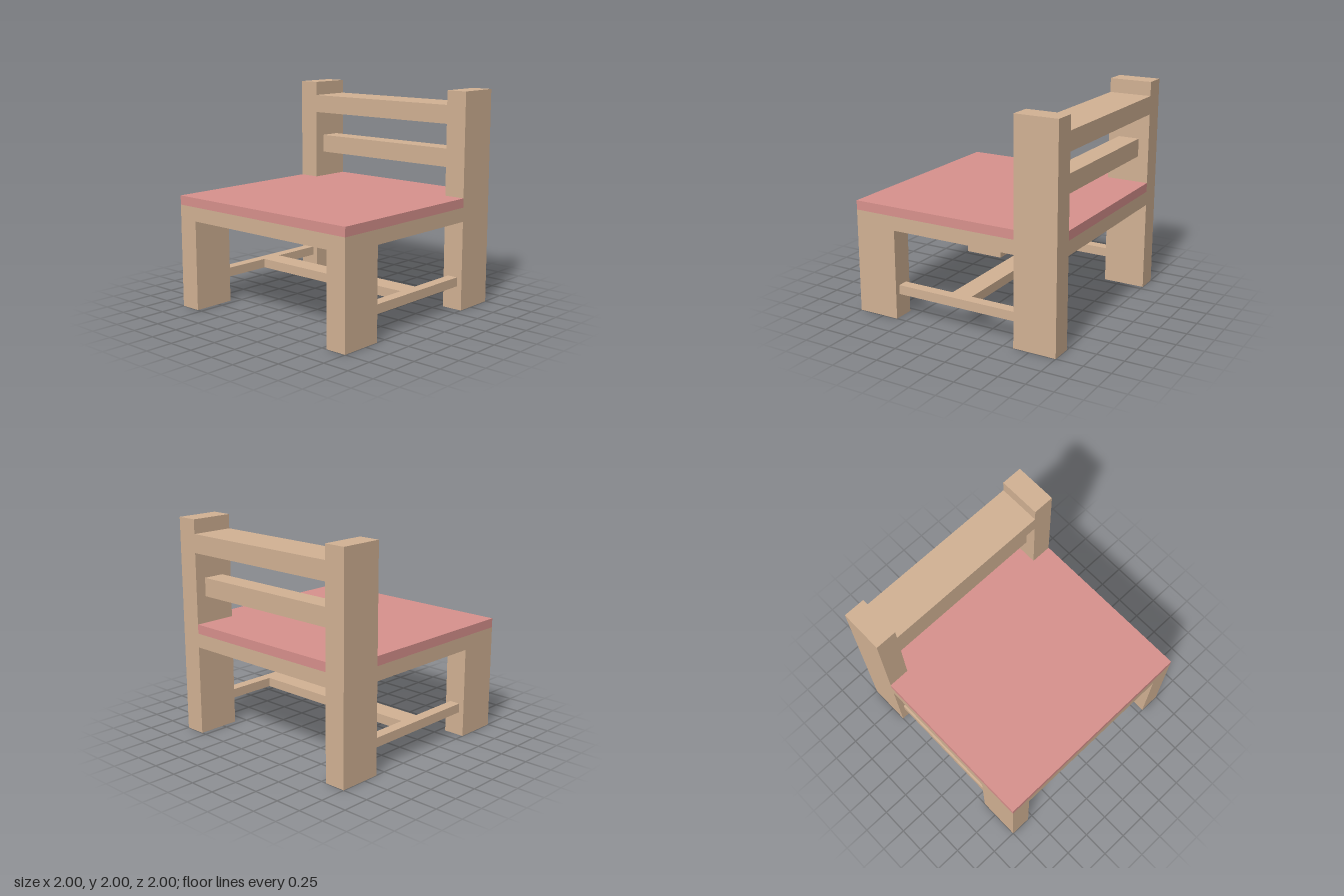
import * as THREE from 'three';

const wood = new THREE.MeshStandardMaterial({ color: 0xd2b294 });
const pink = new THREE.MeshStandardMaterial({ color: 0xd8918d });

export function createModel() {
  const chair = new THREE.Group();
  chair.name = 'chair';

  // Box given by its min and max on each axis
  const box = (name, [x0, x1], [y0, y1], [z0, z1]) => {
    const mesh = new THREE.Mesh(new THREE.BoxGeometry(x1 - x0, y1 - y0, z1 - z0), wood);
    mesh.position.set((x0 + x1) / 2, (y0 + y1) / 2, (z0 + z1) / 2);
    mesh.name = name;
    chair.add(mesh);
  };

  // Seat outline, narrowed at the back to pass between the posts (shape y is -z)
  const outline = new THREE.Shape([
    [-1, -1], [1, -1], [1, 0.6], [0.8, 0.6], [0.8, 1], [-0.8, 1], [-0.8, 0.6], [-1, 0.6],
  ].map(([x, y]) => new THREE.Vector2(x, y)));
  const slab = (name, y0, y1, material) => {
    const geometry = new THREE.ExtrudeGeometry(outline, { depth: y1 - y0, bevelEnabled: false });
    geometry.rotateX(-Math.PI / 2);
    const mesh = new THREE.Mesh(geometry, material);
    mesh.position.y = y0;
    mesh.name = name;
    chair.add(mesh);
  };
  slab('seatBase', 0.83, 0.96, wood);
  slab('seatCushion', 0.96, 1.045, pink);

  // Legs, posts and side stretchers, mirrored
  for (const [side, s] of [['left', 1], ['right', -1]]) {
    const span = (a, b) => (s > 0 ? [a, b] : [-b, -a]);
    box(side + 'FrontLeg', span(0.8, 1), [0, 0.83], [0.6, 1]);
    box(side + 'BackPost', span(0.8, 1), [0, 2], [-1, -0.6]);
    box(side + 'Stretcher', span(0.85, 0.95), [0.22, 0.305], [-0.6, 0.6]);
  }

  // Cross stretcher and back rails
  box('crossStretcher', [-0.85, 0.85], [0.22, 0.305], [-0.1, 0.1]);
  box('topRail', [-0.8, 0.8], [1.7, 1.87], [-1, -0.6]);
  box('middleRail', [-0.8, 0.8], [1.29, 1.46], [-0.9, -0.7]);

  return chair;
}
